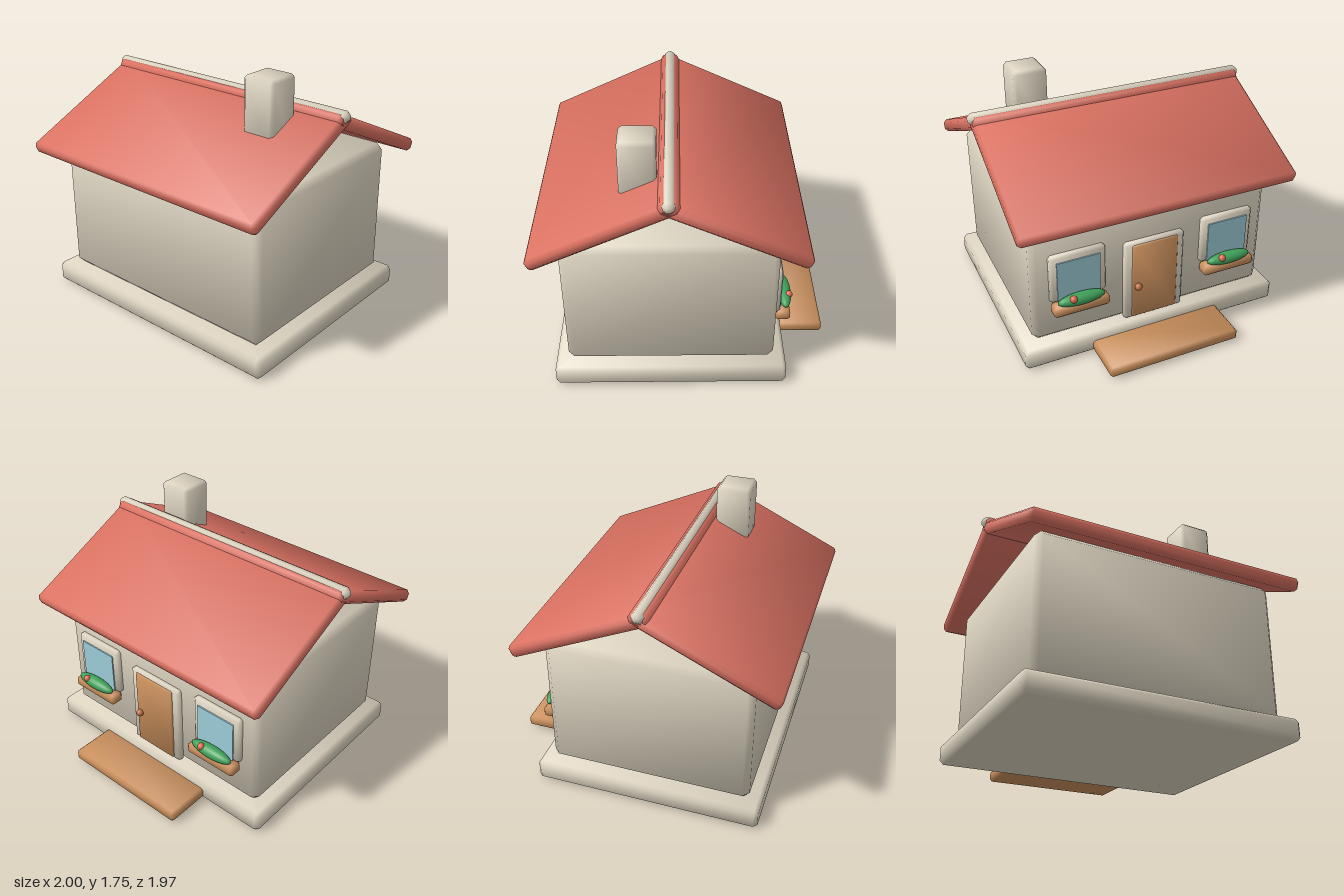
import * as THREE from 'three';
import { ConvexGeometry } from 'three/addons/geometries/ConvexGeometry.js';

const material = (name, color) => {
  const m = new THREE.MeshStandardMaterial({ color });
  m.name = name;
  return m;
};

// Box with chamfered edges and softly averaged normals
function softBox(w, h, d, c) {
  const half = [w / 2, h / 2, d / 2];
  const points = [];
  for (let axis = 0; axis < 3; axis++)
    for (const sx of [-1, 1]) for (const sy of [-1, 1]) for (const sz of [-1, 1]) {
      const p = [sx, sy, sz].map((s, i) => s * (half[i] - (i === axis ? 0 : c)));
      points.push(new THREE.Vector3(...p));
    }
  const geo = new ConvexGeometry(points);
  const pos = geo.attributes.position, n = new THREE.Vector3();
  for (let i = 0; i < pos.count; i++) {
    const p = [pos.getX(i), pos.getY(i), pos.getZ(i)];
    // the face the corner lies on counts most, the chamfers tilt it outward
    n.set(...p.map((v, k) => Math.sign(v) * (Math.abs(v) > half[k] - c / 2 ? 3 : 1.28))).normalize();
    geo.attributes.normal.setXYZ(i, n.x, n.y, n.z);
  }
  return geo;
}

export function createModel() {
  const house = new THREE.Group();
  house.name = 'house';
  const plaster = material('plaster', 0xdcd3c0);
  const tile = material('roofTile', 0xdc7262);
  const wood = material('wood', 0xc98f5c);
  const glass = material('glass', 0x9fcedb);
  const leaf = material('leaf', 0x3fa15a);
  const petal = material('petal', 0xdc6a50);
  const copper = material('copper', 0xbd7044);

  const add = (name, geo, mat, x, y, z, parent = house) => {
    const mesh = new THREE.Mesh(geo, mat);
    mesh.name = name;
    mesh.position.set(x, y, z);
    parent.add(mesh);
    return mesh;
  };
  const midZ = 0.095;

  // Foundation, walls and doorstep
  add('foundation', softBox(1.9, 0.15, 1.56, 0.027), plaster, 0, 0.075, midZ);
  add('walls', softBox(1.73, 0.97, 1.39, 0.043), plaster, 0, 0.635, midZ);
  add('doorstep', softBox(0.95, 0.08, 0.38, 0.016), wood, 0, 0.056, -0.8);

  // Two roof slabs crossing slightly under the ridge
  for (const s of [1, -1]) {
    const slab = add(s > 0 ? 'frontRoofSlab' : 'backRoofSlab',
      softBox(1.96, 0.09, 1.03, 0.022), tile, 0, 1.29, midZ + s * 0.405);
    slab.rotation.x = s * THREE.MathUtils.degToRad(25);
  }
  add('roofRidge', softBox(2, 0.078, 0.08, 0.025), plaster, 0, 1.513, midZ);
  add('chimney', softBox(0.236, 0.495, 0.238, 0.022), plaster, 0.537, 1.4975, 0.289);

  // Door on the back wall
  const door = new THREE.Group();
  door.name = 'door';
  house.add(door);
  add('doorFrame', softBox(0.44, 0.62, 0.057, 0.018), plaster, 0, 0.465, -0.609, door);
  add('doorPanel', softBox(0.335, 0.585, 0.05, 0.008), wood, 0, 0.465, -0.625, door);
  add('doorKnob', new THREE.SphereGeometry(0.026, 16, 12), copper, 0.13, 0.43, -0.662, door);

  // Windows with planters either side of the door
  for (const s of [1, -1]) {
    const win = new THREE.Group();
    win.name = s > 0 ? 'leftWindow' : 'rightWindow';
    win.position.x = s * 0.55;
    house.add(win);
    add('windowFrame', softBox(0.39, 0.36, 0.057, 0.018), plaster, 0, 0.642, -0.609, win);
    add('windowPane', new THREE.BoxGeometry(0.3, 0.3, 0.009), glass, 0, 0.625, -0.642, win);
    add('planter', softBox(0.39, 0.078, 0.1, 0.018), wood, 0, 0.428, -0.66, win);
    const plant = add('plant', new THREE.SphereGeometry(1, 20, 14), leaf, 0, 0.49, -0.682, win);
    plant.scale.set(0.165, 0.043, 0.046);
    add('flower', new THREE.SphereGeometry(0.025, 16, 12), petal, 0.065, 0.515, -0.708, win);
  }
  return house;
}
